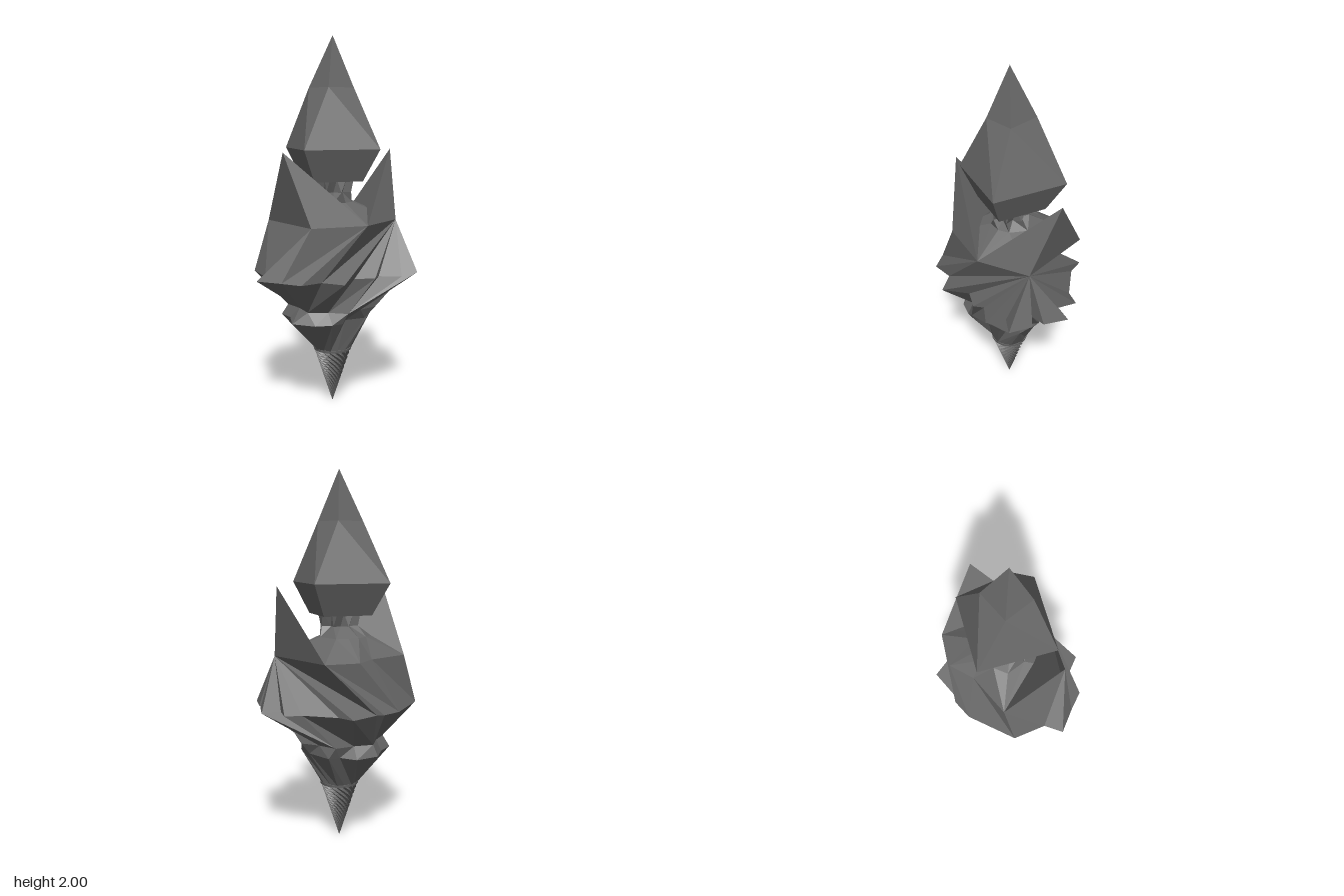
import * as THREE from 'three';

const stone = new THREE.MeshStandardMaterial({ color: 0x686868, flatShading: true, side: THREE.DoubleSide });
stone.name = 'dark grey stone';

const TAU = Math.PI * 2;
const SEAM = 0.526; // direction of the corner from which the body folds fan out
const ring = (y, pts) => pts.map(([x, z]) => [x, y, z]);

// star-shaped ring: corners alternate between an outer and an inner radius
function star(y, n, outer, inner, turn = 0) {
  return Array.from({ length: n }, (_, i) => {
    const a = (i / n) * TAU + turn, r = i % 2 ? inner : outer;
    return [0.01 + r * Math.cos(a), y, r * Math.sin(a)];
  });
}

// zip two rings into a band of triangles; spread pulls the lower corners
// within that angle of the seam towards the upper corner on the seam
function band(upper, lower, spread = 0) {
  const keyed = (pts, s) => pts.map(p => {
    const d = Math.atan2(p[2], p[0]) - SEAM;
    const a = Math.atan2(Math.sin(d), Math.cos(d)), m = Math.abs(a);
    return { p, k: Math.sign(a) * Math.max(0.02 * m, (m - s) / (1 - s / Math.PI)) };
  }).sort((a, b) => a.k - b.k);
  const A = keyed(upper, 0), B = keyed(lower, spread), out = [];
  const at = (R, i) => R[i % R.length].p;
  const key = (R, i) => R[i % R.length].k + Math.floor(i / R.length) * TAU;
  const middle = (R, i) => key(R, i) + key(R, i + 1);
  let i = 0, j = 0;
  while (i < A.length || j < B.length) {
    if (j >= B.length || (i < A.length && middle(A, i) <= middle(B, j))) {
      out.push(at(A, i), at(A, i + 1), at(B, j));
      i++;
    } else {
      out.push(at(A, i), at(B, j + 1), at(B, j));
      j++;
    }
  }
  return out;
}

// fan from a ring (ordered by growing angle) to one point
function fan(pts, tip, down = false) {
  return pts.flatMap((p, i) => {
    const q = pts[(i + 1) % pts.length];
    return down ? [p, q, tip] : [q, p, tip];
  });
}

function mesh(name, corners) {
  const g = new THREE.BufferGeometry();
  g.setAttribute('position', new THREE.Float32BufferAttribute(corners.flat(), 3));
  g.computeVertexNormals();
  const m = new THREE.Mesh(g, stone);
  m.name = name;
  return m;
}

export function createModel() {
  const model = new THREE.Group();
  model.name = 'crystalSpinner';

  // crystal head: slightly turned square sections under a point
  const corners = [[0.28, -0.13], [0.13, 0.25], [-0.25, 0.1], [-0.1, -0.28]];
  const wide = ring(1.41, corners);
  const base = ring(1.24, corners.map(([x, z]) => [0.012 + (x - 0.015) * 0.65, -0.01 + (z + 0.015) * 0.65]));
  const waist = ring(1.73, [[0.1, -0.1], [0.09, 0.08], [-0.075, 0.075], [-0.08, -0.09]]);
  model.add(mesh('crystalHead', [
    ...fan(waist, [0.01, 2, 0]), ...band(waist, wide), ...band(wide, base), ...fan(base, [0.01, 1.24, 0], true),
  ]));

  // shoulder, rim, crease and belly outlines of the body
  const shoulder = ring(1.02, [[0.31, 0.18], [0.03, 0.27], [-0.26, 0.17], [-0.25, -0.235],
    [0, -0.25], [0.135, -0.31], [0.305, -0.24]]);
  const rim = ring(0.75, [[0.48, 0.06], [0.41, 0.175], [0.31, 0.17], [0.38, 0.23], [0.32, 0.345],
    [0.24, 0.28], [0.18, 0.37], [0.09, 0.29], [0.04, 0.32], [-0.05, 0.26], [-0.18, 0.34], [-0.24, 0.23],
    [-0.36, 0.22], [-0.41, 0.12], [-0.48, 0], [-0.39, -0.06], [-0.345, -0.235], [-0.09, -0.365],
    [0.025, -0.375], [0.06, -0.355], [0.225, -0.365], [0.24, -0.27], [0.35, -0.11], [0.43, -0.07], [0.38, 0.03]]);
  const crease = star(0.56, 14, 0.245, 0.21, 0.1);
  const belly = ring(0.5, [[0.21, 0.01], [0.19, 0.11], [0.11, 0.11], [0.09, 0.18], [-0.02, 0.15],
    [-0.08, 0.2], [-0.14, 0.19], [-0.22, 0.15], [-0.29, 0.04], [-0.22, -0.08], [-0.22, -0.16],
    [-0.12, -0.2], [-0.03, -0.27], [0.1, -0.25], [0.14, -0.16], [0.2, -0.14]]);
  const foot = star(0.31, 16, 0.105, 0.1);

  // neck: pleated column flaring into the sloping back
  const neckTop = star(1.25, 16, 0.115, 0.085);
  const neck = star(1.18, 16, 0.105, 0.07, 0.2);
  const neckFoot = ring(1.125, [[0.14, 0], [0.08, 0.08], [0.02, 0.1], [-0.05, 0.08], [-0.12, 0],
    [-0.12, -0.11], [-0.05, -0.15], [0.02, -0.17], [0.08, -0.16], [0.14, -0.13]]);
  model.add(mesh('neck', [...band(neckTop, neck), ...band(neck, neckFoot)]));
  model.add(mesh('shoulders', band(neckFoot, shoulder)));
  model.add(mesh('upperBody', band(shoulder, rim, 1.6)));
  model.add(mesh('lowerBody', [...band(rim, crease, 0.9), ...band(crease, belly), ...band(belly, foot, 0.8)]));

  // two horns rising from the shoulder corners
  const front = [0.03, 1.02, 0.27];
  const horns = [
    ['rightHorn', [-0.34, 1.4, 0.04], [front, [-0.26, 1.02, 0.17], [-0.25, 1.02, -0.235]]],
    ['leftHorn', [0.39, 1.4, 0.04], [[0.31, 1.02, 0.18], front, [0.305, 1.02, -0.24]]],
  ];
  for (const [name, tip, foundation] of horns) model.add(mesh(name, fan(foundation, tip)));

  // collar and spirally grooved drill point
  const collar = new THREE.Mesh(new THREE.CylinderGeometry(0.107, 0.104, 0.014, 24), stone);
  collar.name = 'collar';
  collar.position.set(0.01, 0.308, 0);
  model.add(collar);

  const steps = 20, drill = [];
  const section = s => {
    const t = s / steps, r = 0.1 * (1 - t) + 0.002;
    return star(0.302 * (1 - t), 32, r, r * 0.86, -t * 4.2);
  };
  for (let s = 0; s < steps; s++) {
    const a = section(s), b = section(s + 1);
    a.forEach((p, i) => {
      const n = (i + 1) % a.length;
      drill.push(p, a[n], b[i], a[n], b[n], b[i]);
    });
  }
  model.add(mesh('drillPoint', drill));
  return model;
}
